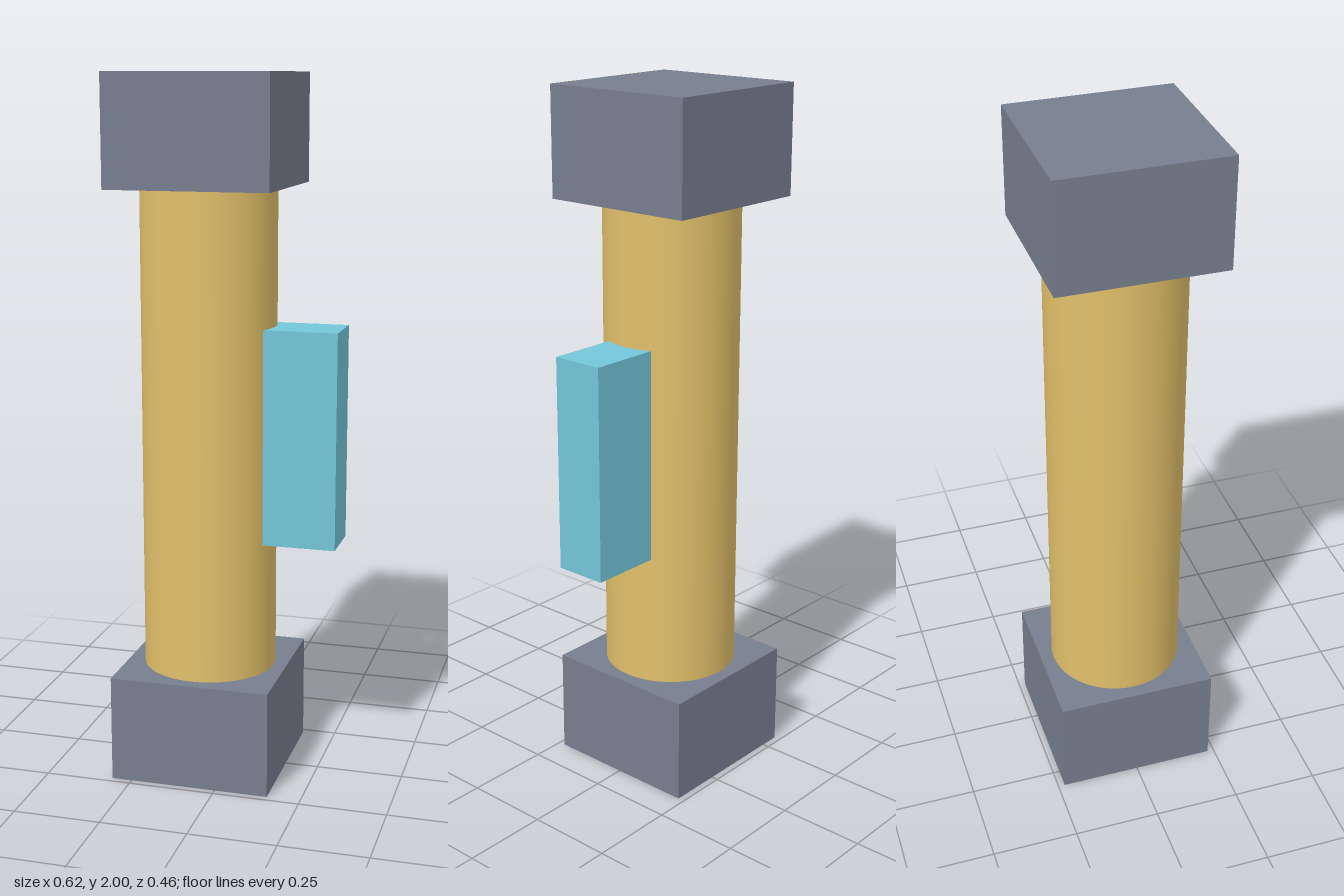
import * as THREE from 'three';

export function createModel() {
  const model = new THREE.Group();
  const U = 1 / 13; // modelling unit
  const axisX = -U; // the column stands off centre, balanced by the side block

  const slate = new THREE.MeshStandardMaterial({ color: 0x777e8e });
  const gold = new THREE.MeshStandardMaterial({ color: 0xe2c06a });
  const blue = new THREE.MeshStandardMaterial({ color: 0x74c6da });

  const add = (name, geometry, material, x, y) => {
    const mesh = new THREE.Mesh(geometry, material);
    mesh.name = name;
    mesh.position.set(x, y, 0);
    model.add(mesh);
  };

  // Square blocks at both ends
  const endBlock = new THREE.BoxGeometry(6 * U, 4 * U, 6 * U);
  add('bottomBlock', endBlock, slate, axisX, 2 * U);
  add('topBlock', endBlock, slate, axisX, 24 * U);

  // Round column between the blocks
  add('column', new THREE.CylinderGeometry(2.5 * U, 2.5 * U, 18 * U, 64), gold, axisX, 13 * U);

  // Block on the left flank, sunk into the column
  add('sideBlock', new THREE.BoxGeometry(3 * U, 8 * U, 2 * U), blue, 2.5 * U, 13 * U);

  return model;
}
